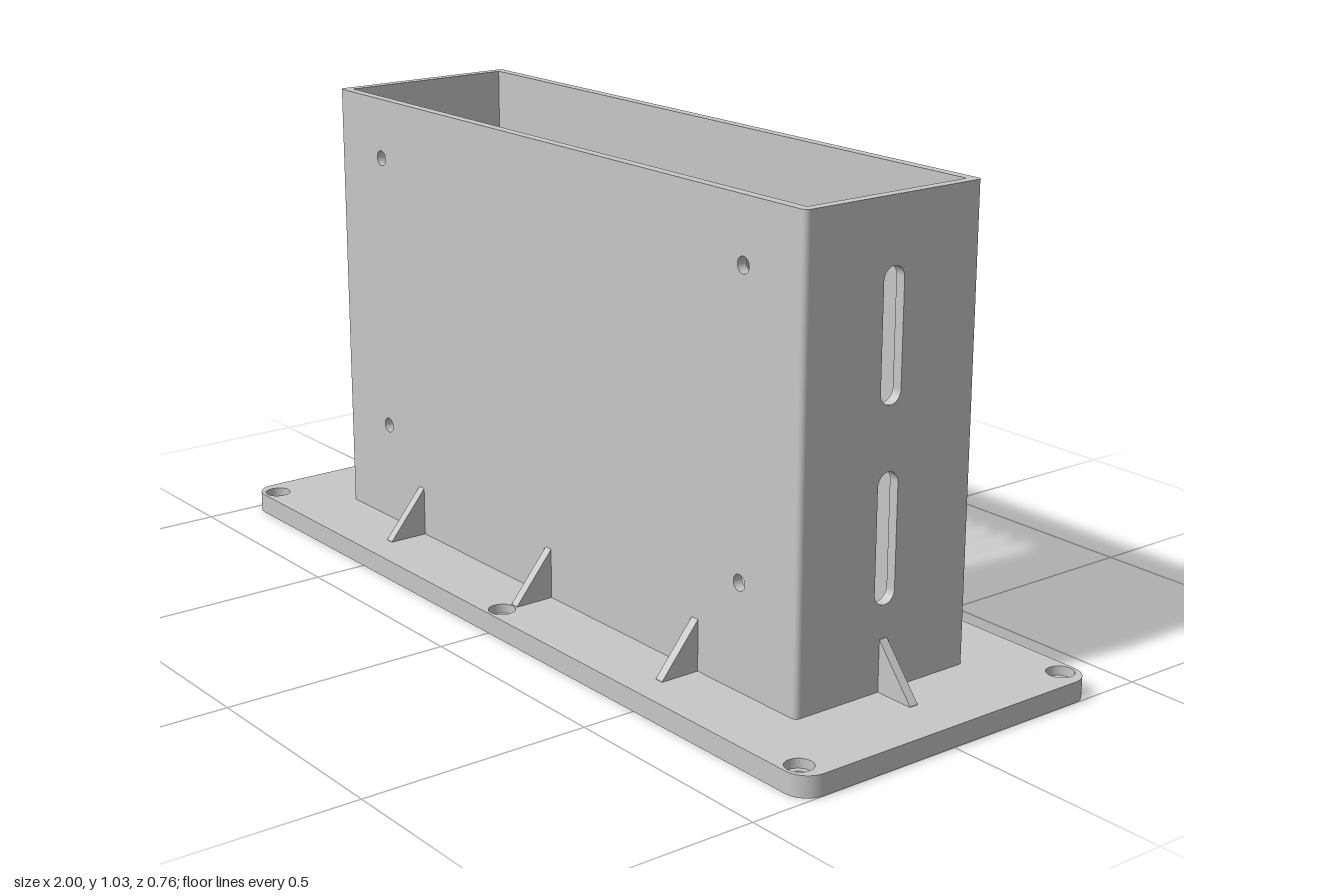
import * as THREE from 'three';

const X = 0.798, Z = 0.223, TOP = 1.033, BASE = 0.045, WALL = 0.022, EDGE = 0.012;

// Path helpers
function roundRect(path, cx, cy, w, h, r) {
  const l = cx - w / 2, b = cy - h / 2, q = Math.PI / 2;
  path.moveTo(l + r, b);
  path.absarc(l + w - r, b + r, r, -q, 0, false);
  path.absarc(l + w - r, b + h - r, r, 0, q, false);
  path.absarc(l + r, b + h - r, r, q, 2 * q, false);
  path.absarc(l + r, b + r, r, 2 * q, 3 * q, false);
  path.closePath();
  return path;
}

function rect(path, x0, y0, x1, y1) {
  path.moveTo(x0, y0);
  path.lineTo(x1, y0);
  path.lineTo(x1, y1);
  path.lineTo(x0, y1);
  path.closePath();
  return path;
}

const circle = (x, y, r) => new THREE.Path().absarc(x, y, r, 0, Math.PI * 2, true);
const extrude = (shape, depth) =>
  new THREE.ExtrudeGeometry(shape, { depth, bevelEnabled: false, curveSegments: 16 });

export function createModel() {
  const grey = new THREE.MeshStandardMaterial({ color: 0xc7c7c7 });
  grey.name = 'lightGrey';
  const model = new THREE.Group();
  model.name = 'enclosure';
  const add = (name, geometry) => {
    const mesh = new THREE.Mesh(geometry, grey);
    mesh.name = name;
    model.add(mesh);
    return mesh;
  };

  // Base flange in two layers, giving counterbored screw holes
  const flangeLayer = (name, y0, y1, holeRadius) => {
    const shape = roundRect(new THREE.Shape(), 0, 0, 2, 0.762, 0.05);
    shape.holes.push(rect(new THREE.Path(), -X + WALL, -Z + WALL, X - WALL, Z - WALL));
    for (const x of [-0.947, 0, 0.947])
      for (const z of [-0.345, 0.345]) shape.holes.push(circle(x, z, holeRadius));
    add(name, extrude(shape, y1 - y0).rotateX(-Math.PI / 2).translate(0, y0, 0));
  };
  flangeLayer('flangeBottom', 0, 0.025, 0.017);
  flangeLayer('flangeTop', 0.025, BASE, 0.029);

  // Floor of the box, recessed from below
  add('floor', new THREE.BoxGeometry(2 * (X - 0.01), WALL, 2 * (Z - 0.01))
    .translate(0, BASE + WALL / 2, 0));

  // Front wall with four screw holes
  const front = rect(new THREE.Shape(), -X + EDGE, BASE, X - EDGE, TOP);
  for (const x of [-0.628, 0.628])
    for (const y of [0.271, 0.899]) front.holes.push(circle(x, y, 0.017));
  add('frontWall', extrude(front, WALL).translate(0, 0, Z - WALL));

  // Back wall with nine vent slots
  const back = rect(new THREE.Shape(), -X + EDGE, BASE, X - EDGE, TOP);
  for (let i = -4; i <= 4; i++) {
    const x = i * 0.067;
    back.holes.push(rect(new THREE.Path(), x - 0.013, 0.318, x + 0.013, 0.852));
  }
  add('backWall', extrude(back, WALL).translate(0, 0, -Z));

  // End walls with two rounded slots each
  for (const side of [1, -1]) {
    const end = rect(new THREE.Shape(), -Z + EDGE, BASE, Z - EDGE, TOP);
    for (const y of [0.36, 0.763])
      end.holes.push(roundRect(new THREE.Path(), 0, y, 0.052, 0.27, 0.026));
    add(side > 0 ? 'leftWall' : 'rightWall',
      extrude(end, WALL).translate(0, 0, X - WALL).rotateY(side * Math.PI / 2));
  }

  // Rounded vertical corners
  for (const sx of [-1, 1])
    for (const sz of [-1, 1])
      add('cornerEdge', new THREE.CylinderGeometry(EDGE, EDGE, TOP - BASE, 20)
        .translate(sx * (X - EDGE), (TOP + BASE) / 2, sz * (Z - EDGE)));

  // Triangular gussets around the foot of the box
  const tri = new THREE.Shape();
  tri.moveTo(-0.005, BASE - 0.002);
  tri.lineTo(0.09, BASE - 0.002);
  tri.lineTo(0.09, BASE + 0.001);
  tri.lineTo(0, 0.155);
  tri.lineTo(-0.005, 0.155);
  tri.closePath();
  const gussetGeometry = extrude(tri, 0.02).translate(0, 0, -0.01);
  const gusset = (x, z, angle) => {
    const mesh = add('gusset', gussetGeometry);
    mesh.position.set(x, 0, z);
    mesh.rotation.y = angle;
  };
  for (const x of [-0.495, 0, 0.495]) {
    gusset(x, Z, -Math.PI / 2);
    gusset(x, -Z, Math.PI / 2);
  }
  gusset(X, 0, 0);
  gusset(-X, 0, Math.PI);

  return model;
}
